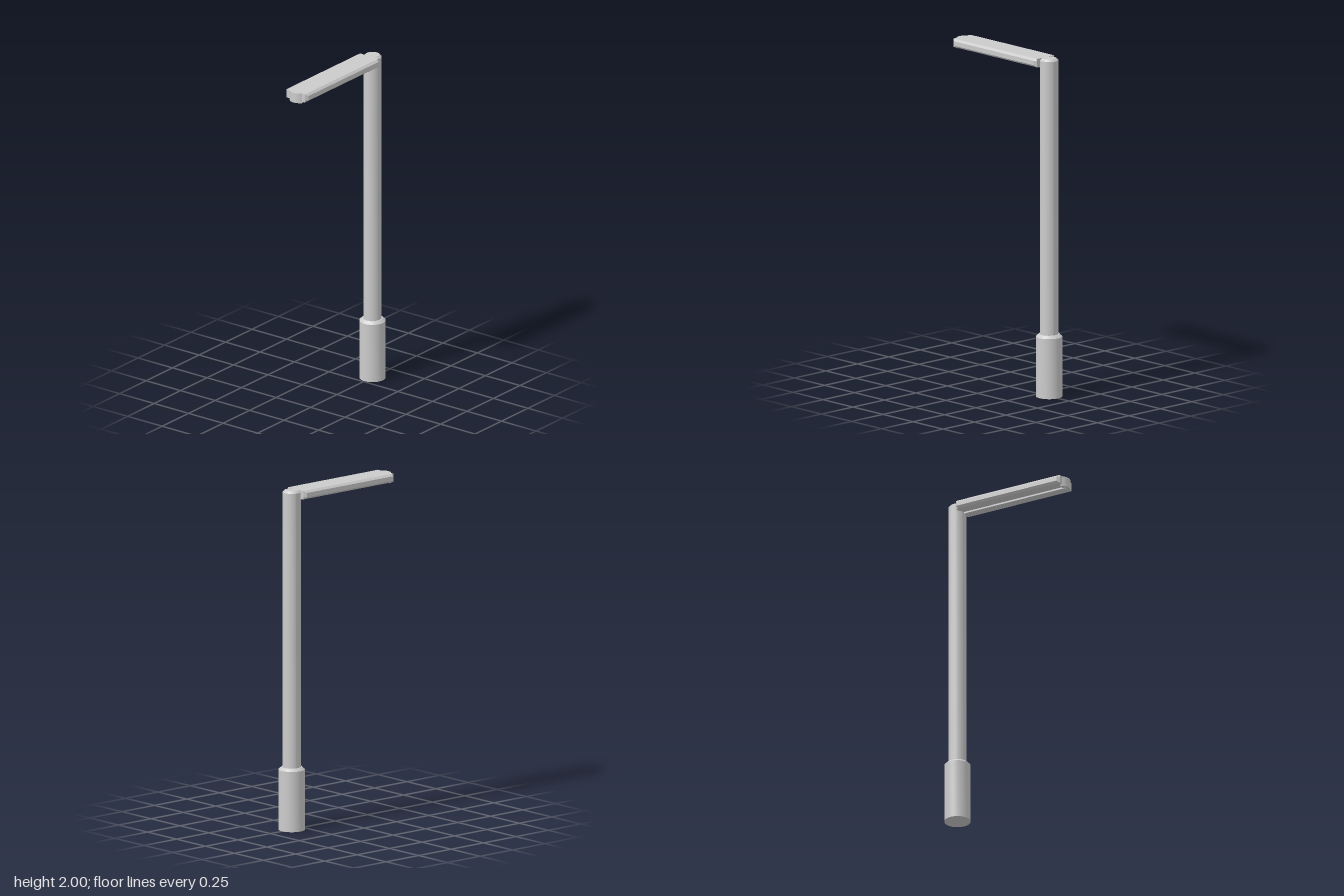
import * as THREE from 'three';
import { toCreasedNormals } from 'three/addons/utils/BufferGeometryUtils.js';

const POLE_Z = -0.335;

function turned(name, profile, material) {
  const points = profile.map(([r, y]) => new THREE.Vector2(r, y));
  const geometry = toCreasedNormals(new THREE.LatheGeometry(points, 40), 0.5);
  const mesh = new THREE.Mesh(geometry, material);
  mesh.name = name;
  mesh.position.z = POLE_Z;
  return mesh;
}

// Lofts one closed cross-section along z, limiting its half width at each station
function loft(section, stations) {
  const n = section.length;
  const positions = [];
  const index = [];
  for (const [z, limit] of stations) {
    for (const [x, y] of section) positions.push(THREE.MathUtils.clamp(x, -limit, limit), y, z);
  }
  for (let s = 0; s < stations.length - 1; s++) {
    for (let i = 0; i < n; i++) {
      const a = s * n + i, b = s * n + (i + 1) % n;
      index.push(a, b, b + n, a, b + n, a + n);
    }
  }
  // End caps
  const outline = section.map(([x, y]) => new THREE.Vector2(x, y));
  const last = (stations.length - 1) * n;
  for (const [a, b, c] of THREE.ShapeUtils.triangulateShape(outline, [])) {
    index.push(a, c, b, last + a, last + b, last + c);
  }
  const geometry = new THREE.BufferGeometry();
  geometry.setAttribute('position', new THREE.Float32BufferAttribute(positions, 3));
  geometry.setIndex(index);
  const flat = geometry.toNonIndexed();
  flat.computeVertexNormals();
  return flat;
}

export function createModel() {
  const group = new THREE.Group();
  const smooth = new THREE.MeshStandardMaterial({ color: 0xcccccc });
  const faceted = new THREE.MeshStandardMaterial({ color: 0xcccccc, flatShading: true });

  // Wide base sleeve with a bevelled shoulder
  group.add(turned('base', [[0, 0], [0.076, 0], [0.076, 0.355], [0.06, 0.37], [0, 0.37]], smooth));

  // Pole with a bevelled top
  group.add(turned('pole', [[0, 0.36], [0.053, 0.36], [0.053, 1.988], [0.041, 2], [0, 2]], smooth));

  // Lamp arm: bevelled edges and a light ridge along the underside, anticlockwise seen from +z
  const half = [[0.014, 1.936], [0.014, 1.946], [0.067, 1.95], [0.08, 1.962], [0.08, 1.988], [0.067, 2]];
  const section = [...half, ...half.map(([x, y]) => [-x, y]).reverse()];
  const stations = [[-0.305, 0.067], [-0.29, 0.08], [0.375, 0.08], [0.39, 0.067]];
  const arm = new THREE.Mesh(loft(section, stations), faceted);
  arm.name = 'lampArm';
  group.add(arm);

  // Rounded nose at the tip of the arm
  const nose = new THREE.Shape();
  nose.moveTo(-0.045, -0.38);
  nose.lineTo(-0.045, -0.39);
  nose.quadraticCurveTo(-0.025, -0.411, 0, -0.411);
  nose.quadraticCurveTo(0.025, -0.411, 0.045, -0.39);
  nose.lineTo(0.045, -0.38);
  const noseGeometry = new THREE.ExtrudeGeometry(nose, { depth: 0.06, bevelEnabled: false, curveSegments: 6 });
  noseGeometry.rotateX(-Math.PI / 2);
  noseGeometry.translate(0, 1.94, 0);
  const noseMesh = new THREE.Mesh(toCreasedNormals(noseGeometry, 0.5), smooth);
  noseMesh.name = 'armNose';
  group.add(noseMesh);

  return group;
}
